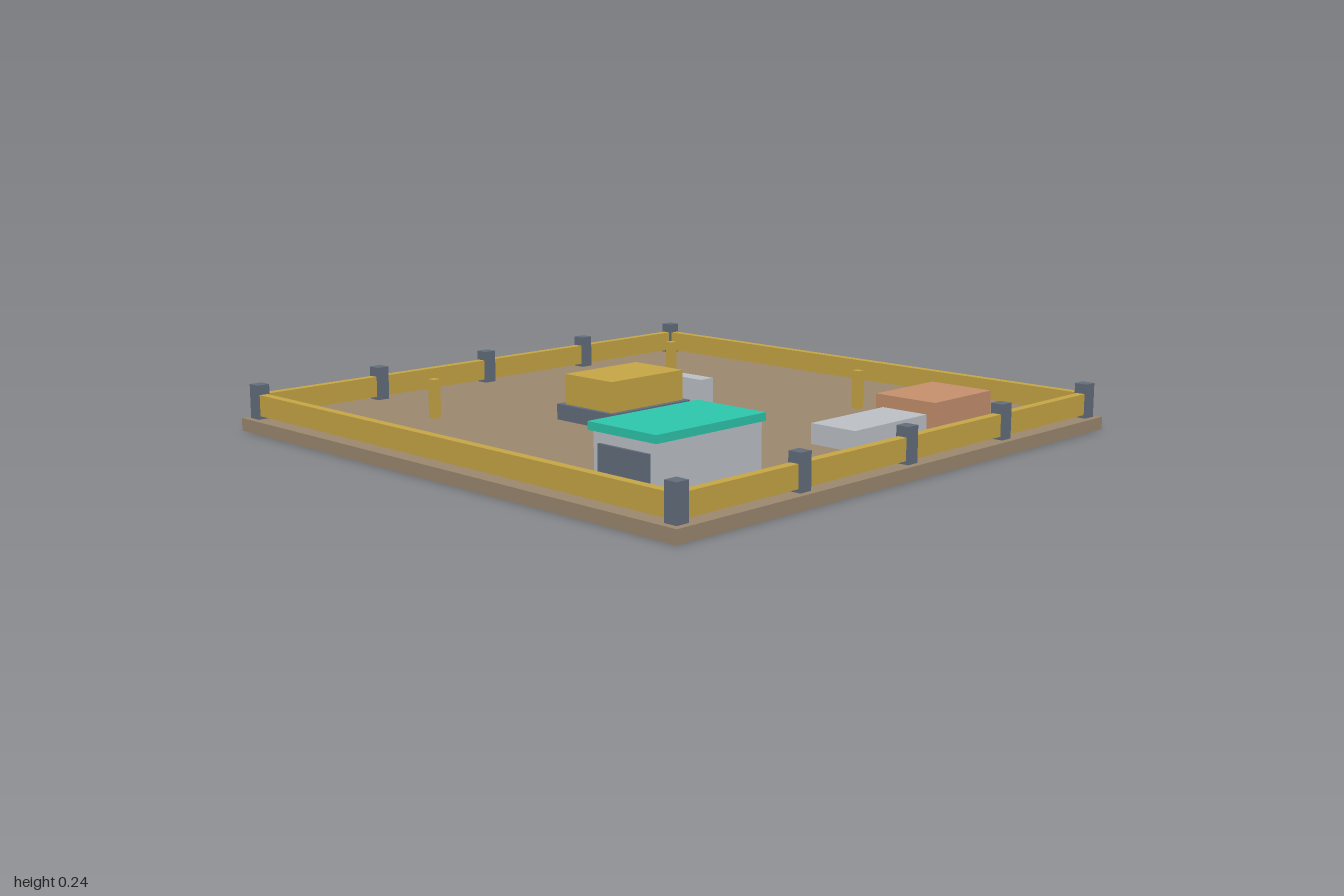
import * as THREE from 'three';

const mat = (name, color) => {
  const m = new THREE.MeshStandardMaterial({ color });
  m.name = name;
  return m;
};

export function createModel() {
  const earth = mat('earth brown', 0x9d8a71);
  const yellow = mat('mustard yellow', 0xc9a846);
  const slate = mat('slate grey', 0x646f7e);
  const pale = mat('pale grey', 0xbfc3c9);
  const teal = mat('teal', 0x2ec8ae);
  const clay = mat('clay orange', 0xc8926f);

  const model = new THREE.Group();
  model.name = 'fencedYard';

  // Box given by its minimum and maximum on each axis
  const box = (name, material, [x0, x1], [y0, y1], [z0, z1], parent = model) => {
    const mesh = new THREE.Mesh(new THREE.BoxGeometry(x1 - x0, y1 - y0, z1 - z0), material);
    mesh.position.set((x0 + x1) / 2, (y0 + y1) / 2, (z0 + z1) / 2);
    mesh.name = name;
    parent.add(mesh);
  };
  const around = (c, size) => [c - size / 2, c + size / 2];
  const group = (name) => {
    const g = new THREE.Group();
    g.name = name;
    model.add(g);
    return g;
  };

  const floor = 0.042;
  box('groundSlab', earth, [-1, 1], [0, floor], [-1, 1]);

  // Perimeter fence: rails raised just above the ground, posts front and back
  const fence = group('fence');
  const edge = 0.956, railY = [0.053, 0.123];
  for (const side of [-1, 1]) {
    box('crossRail', yellow, [-edge, edge], railY, around(side * edge, 0.03), fence);
    box('sideRail', yellow, around(side * edge, 0.03), railY, [-edge, edge], fence);
    for (let i = -2; i <= 2; i++) {
      box('fencePost', slate, around(i * edge / 2, 0.045), [floor, 0.155], around(side * edge, 0.045), fence);
    }
  }

  // Cabin with side windows and an overhanging roof
  const cabin = group('cabin');
  box('cabinWalls', pale, [-0.882, -0.473], [floor, 0.215], [0.57, 0.812], cabin);
  box('cabinRoof', teal, [-0.892, -0.463], [0.215, 0.239], [0.556, 0.819], cabin);
  for (const x of [-0.8865, -0.4685]) {
    box('cabinWindow', slate, around(x, 0.009), [0.083, 0.183], [0.594, 0.788], cabin);
  }

  // Central machine on its plinth, with an upright panel beside it
  const machine = group('machine');
  box('machinePlinth', slate, [-0.288, 0.066], [floor, 0.094], [-0.246, 0.016], machine);
  box('machineBody', yellow, [-0.272, 0.05], [0.094, 0.194], [-0.223, -0.004], machine);
  box('machinePanel', pale, [0.088, 0.146], [floor, 0.161], [-0.265, 0.044], machine);

  // Storage boxes near the front
  box('paleCrate', pale, [0.005, 0.36], [floor, 0.107], [0.588, 0.76]);
  box('clayCrate', clay, [0.418, 0.723], [floor, 0.134], [0.514, 0.749]);

  // Marker stakes
  for (const x of [-0.552, 0.552]) {
    for (const z of [-0.552, 0.331]) {
      box('markerStake', yellow, around(x, 0.028), [floor, 0.171], around(z, 0.028));
    }
  }

  return model;
}
